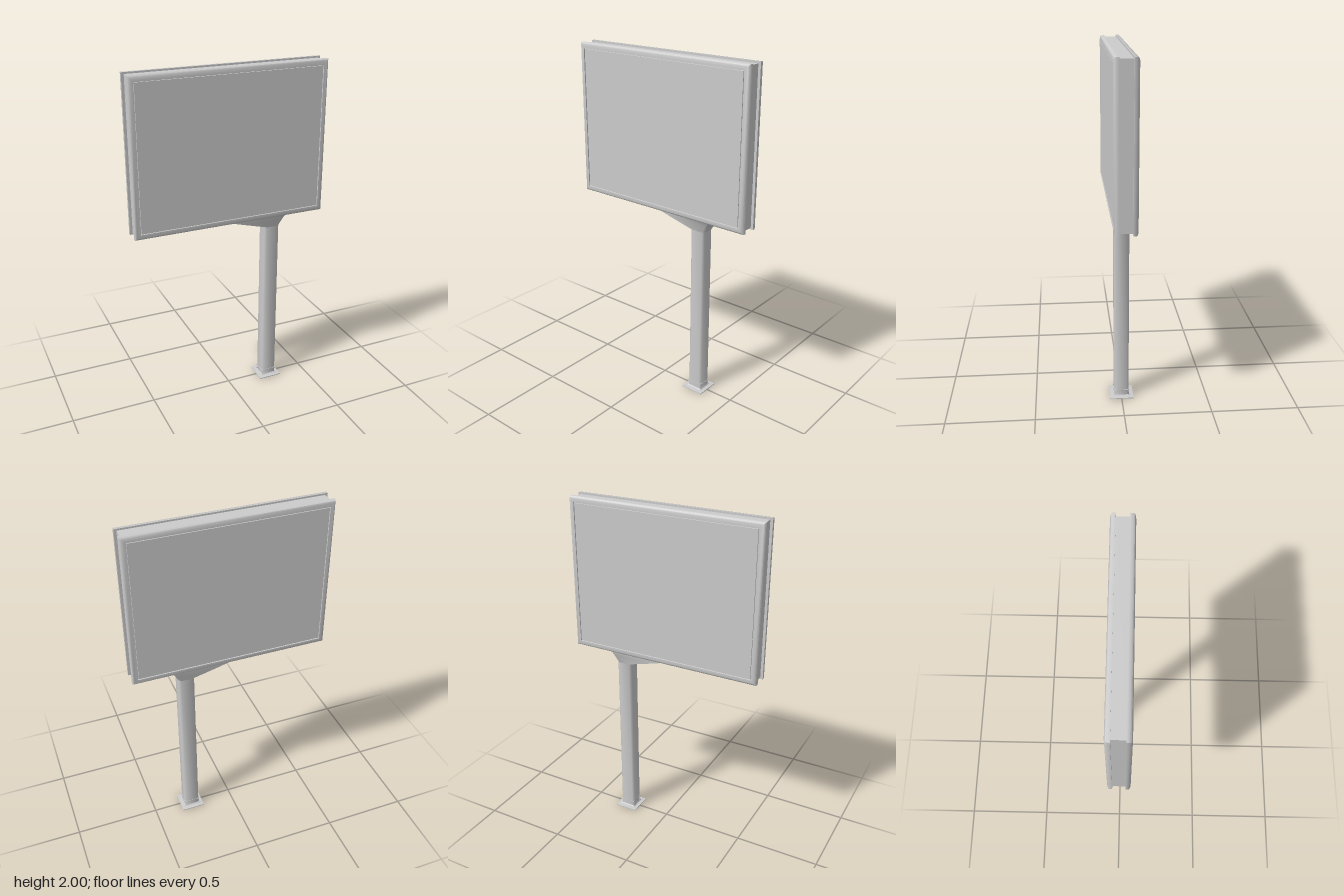
import * as THREE from 'three';
import { toCreasedNormals } from 'three/addons/utils/BufferGeometryUtils.js';

const grey = new THREE.MeshStandardMaterial({ color: 0xcccccc });

// Outline of a rectangle, with optional cut corners
function ring({ x = 0, y, hx, hz, c = 0 }) {
  const pts = [];
  [[1, 1], [-1, 1], [-1, -1], [1, -1]].forEach(([sx, sz], i) => {
    const a = [x + sx * hx, y, sz * (hz - c)];
    const b = [x + sx * (hx - c), y, sz * hz];
    if (c === 0) pts.push(a);
    else pts.push(...(i % 2 === 0 ? [a, b] : [b, a]));
  });
  return pts;
}

// Skin a stack of rectangles from bottom to top, capping the chosen ends
function loft(sections, { bottom = true, top = true, crease = 0.9 } = {}) {
  const rings = sections.map(ring);
  const n = rings[0].length;
  const pos = [];
  const tri = (...p) => p.forEach((v) => pos.push(...v));
  for (let k = 0; k < rings.length - 1; k++) {
    for (let i = 0; i < n; i++) {
      const j = (i + 1) % n;
      const [a, b] = [rings[k], rings[k + 1]];
      tri(a[i], b[i], b[j]);
      tri(a[i], b[j], a[j]);
    }
  }
  const last = rings[rings.length - 1];
  for (let i = 1; i < n - 1; i++) {
    if (bottom) tri(rings[0][0], rings[0][i], rings[0][i + 1]);
    if (top) tri(last[0], last[i + 1], last[i]);
  }
  const geo = new THREE.BufferGeometry();
  geo.setAttribute('position', new THREE.Float32BufferAttribute(pos, 3));
  return toCreasedNormals(geo, crease);
}

function addPart(parent, name, geometry, material = grey) {
  const mesh = new THREE.Mesh(geometry, material);
  mesh.name = name;
  parent.add(mesh);
  return mesh;
}

export function createModel() {
  const model = new THREE.Group();
  model.name = 'billboard';
  const panelY = 1.5525, halfW = 0.58, halfH = 0.4475;
  const poleX = 0.264;

  // Two display panels back to back: rounded frame, narrow groove, flat screen
  const frameProfile = [
    [0, 0.036], [0, 0.053], [0.004, 0.058], [0.012, 0.062], [0.022, 0.064],
    [0.031, 0.064], [0.032, 0.058], [0.035, 0.058], [0.036, 0.062],
  ];
  const panelGeo = loft(frameProfile.map(([inset, y]) => (
    { y, hx: halfW - inset, hz: halfH - inset })));
  panelGeo.rotateX(Math.PI / 2);
  for (const side of ['front', 'back']) {
    const panel = addPart(model, `${side}Panel`, panelGeo);
    panel.position.y = panelY;
    if (side === 'back') panel.rotation.y = Math.PI;
  }

  // Recessed core joining the panels
  const core = addPart(model, 'panelCore', new THREE.BoxGeometry(1.13, 0.876, 0.074));
  core.position.y = panelY;

  // Flared bracket reaching from the pole towards the panel centre
  addPart(model, 'bracket', loft([
    { x: poleX, y: 1.04, hx: 0.047, hz: 0.042, c: 0.014 },
    { x: 0.2, y: 1.085, hx: 0.133, hz: 0.050, c: 0.008 },
    { x: 0.173, y: 1.106, hx: 0.173, hz: 0.052, c: 0.004 },
  ]));

  // Square pole with softened corners
  addPart(model, 'pole', loft([
    { x: poleX, y: 0.008, hx: 0.046, hz: 0.042, c: 0.012 },
    { x: poleX, y: 1.045, hx: 0.046, hz: 0.042, c: 0.012 },
  ], { bottom: false }));

  // Thin collar near the foot
  addPart(model, 'collar', loft([
    { x: poleX, y: 0.041, hx: 0.048, hz: 0.044, c: 0.009 },
    { x: poleX, y: 0.049, hx: 0.048, hz: 0.044, c: 0.009 },
  ]));

  // Base plate, hollow underneath, with a small skirt around the pole
  const open = new THREE.MeshStandardMaterial({ color: 0xcccccc, side: THREE.DoubleSide });
  addPart(model, 'basePlate', loft([
    { x: poleX, y: 0.016, hx: 0.032, hz: 0.030 },
    { x: poleX, y: 0, hx: 0.032, hz: 0.030 },
    { x: poleX, y: 0, hx: 0.044, hz: 0.042 },
    { x: poleX, y: 0.004, hx: 0.050, hz: 0.048 },
    { x: poleX, y: 0.004, hx: 0.070, hz: 0.070 },
    { x: poleX, y: 0.009, hx: 0.070, hz: 0.070 },
    { x: poleX, y: 0.012, hx: 0.050, hz: 0.046 },
    { x: poleX, y: 0.018, hx: 0.046, hz: 0.042 },
  ], { bottom: true, top: false, crease: 0.4 }), open);

  return model;
}
